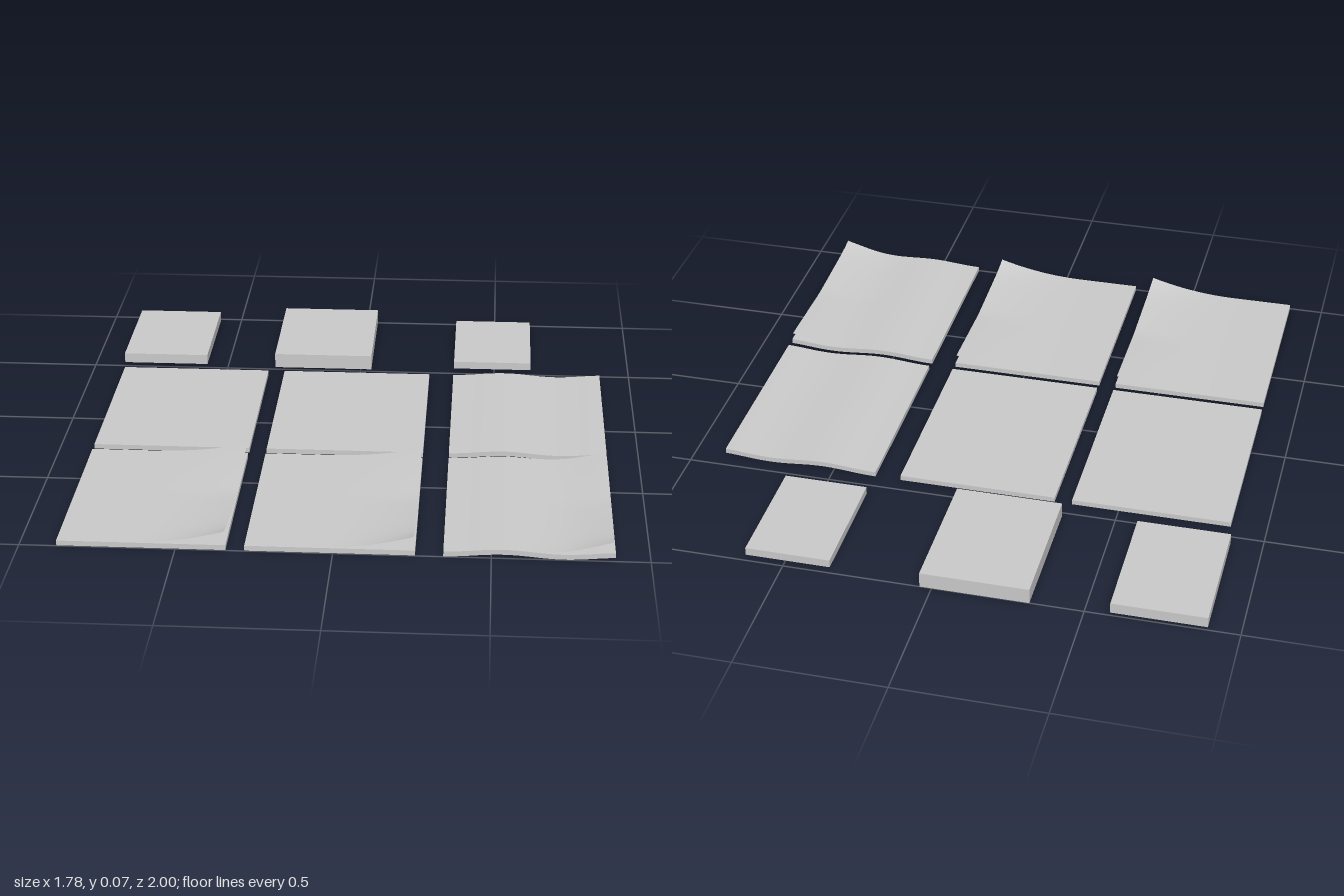
import * as THREE from 'three';

const WIDTH = 0.54, DEPTH = 0.7, THICK = 0.017;
const material = new THREE.MeshStandardMaterial({ color: 0xcccccc });
const sheetMaterial = new THREE.MeshStandardMaterial({ color: 0xcccccc, side: THREE.DoubleSide });

// Height of the gentle ripple across a warped magazine, u = 0 at the spine
const ripple = (u) => 0.0057 * (1 - Math.cos((2 * Math.PI * u) / 0.7));

// Moves every vertex up by a rule of u (across) and v (back to front)
function bend(geometry, rise) {
  const p = geometry.attributes.position;
  for (let i = 0; i < p.count; i++) {
    const u = p.getX(i) / WIDTH + 0.5, v = p.getZ(i) / DEPTH + 0.5;
    p.setY(i, p.getY(i) + rise(u, v));
  }
  geometry.computeVertexNormals();
  return geometry;
}

// Lift of the loose cover: strongest at the front corner, least at mid height
function coverLift(u, v) {
  const s = Math.max(0, (u - 0.4) / 0.6);
  const edge = v < 0.48
    ? 0.009 + 0.023 * (1 - v / 0.48)
    : 0.009 + 0.024 * ((v - 0.48) / 0.52) + 0.014 * Math.pow((v - 0.48) / 0.52, 8);
  return edge * s * s;
}

function magazine(warped, open) {
  const group = new THREE.Group();
  const wave = warped ? ripple : () => 0;

  // Page block
  const block = new THREE.BoxGeometry(WIDTH, THICK, DEPTH, warped ? 24 : 1, 1, 1);
  block.translate(0, THICK / 2, 0);
  const pages = new THREE.Mesh(bend(block, wave), material);
  pages.name = 'pages';
  group.add(pages);

  // Curling loose cover
  if (open) {
    const sheet = new THREE.PlaneGeometry(WIDTH, DEPTH, 24, 20).rotateX(-Math.PI / 2);
    const strength = warped ? 0.78 : 1;
    bend(sheet, (u, v) => THICK + 0.001 + wave(u) + strength * coverLift(u, v));
    // Curling draws the free edge slightly inwards
    const p = sheet.attributes.position;
    for (let i = 0; i < p.count; i++) {
      const u = p.getX(i) / WIDTH + 0.5, v = p.getZ(i) / DEPTH + 0.5;
      p.setX(i, p.getX(i) - 0.12 * coverLift(u, v));
    }
    sheet.computeVertexNormals();
    const cover = new THREE.Mesh(sheet, sheetMaterial);
    cover.name = 'curledCover';
    group.add(cover);
  }
  return group;
}

export function createModel() {
  const model = new THREE.Group();
  model.name = 'booksAndMagazines';

  // Books along the back: x, z, width, height, depth
  [
    [-0.737, -0.76, 0.313, 0.036, 0.452],
    [-0.141, -0.76, 0.362, 0.053, 0.48],
    [0.493, -0.76, 0.287, 0.027, 0.422],
  ].forEach(([x, z, w, h, d], i) => {
    const book = new THREE.Mesh(new THREE.BoxGeometry(w, h, d), material);
    book.position.set(x, h / 2, z);
    book.name = `book${i + 1}`;
    model.add(book);
  });

  // Closed magazines in the middle row, open ones in front; right column is warped
  [-0.61, -0.01, 0.619].forEach((x, i) => {
    for (const open of [false, true]) {
      const item = magazine(i === 2, open);
      item.position.set(x, 0, open ? 0.647 : -0.095);
      item.name = `${open ? 'open' : 'closed'}Magazine${i + 1}`;
      model.add(item);
    }
  });
  return model;
}
